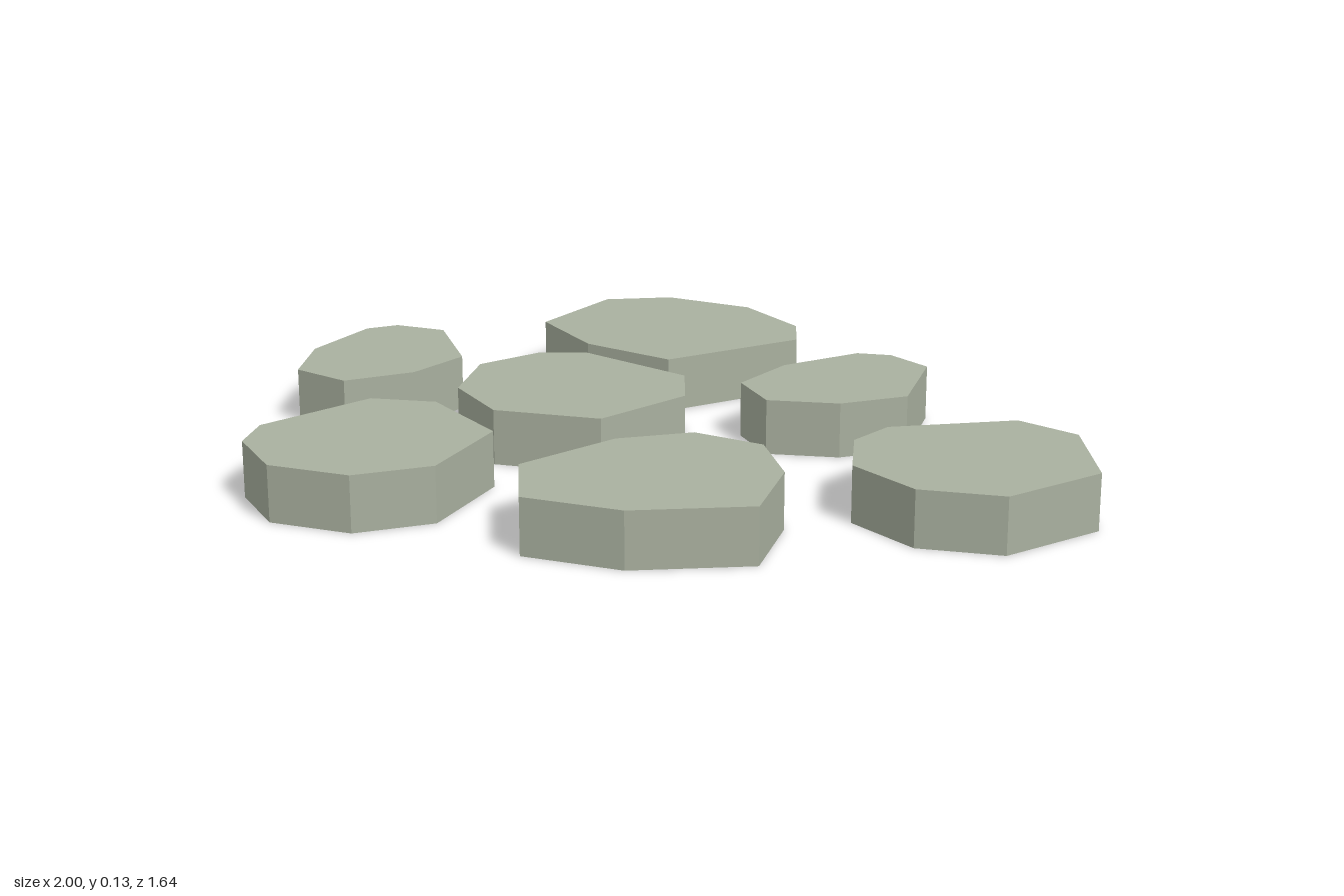
import * as THREE from 'three';

const HEIGHT = 0.13;

// Outline of each stepping stone as [x, z] corners on the ground
const STONES = {
  backLeftStone: [[-0.69, -0.665], [-0.57, -0.78], [-0.35, -0.822], [-0.15, -0.75], [-0.08, -0.65], [-0.23, -0.32], [-0.47, -0.31], [-0.68, -0.4]],
  backStone: [[0.02, -0.45], [0.105, -0.64], [0.18, -0.675], [0.3, -0.645], [0.388, -0.415], [0.295, -0.275], [0.145, -0.195], [0.02, -0.27]],
  rightStone: [[0.473, -0.195], [0.68, -0.41], [0.838, -0.4], [1, -0.2], [0.917, 0.045], [0.74, 0.122], [0.553, 0.073], [0.463, -0.073]],
  centreStone: [[-0.568, -0.018], [-0.517, -0.18], [-0.425, -0.248], [-0.12, -0.237], [-0.024, -0.11], [-0.072, 0.142], [-0.307, 0.238], [-0.484, 0.158]],
  leftStone: [[-1, -0.083], [-0.96, -0.152], [-0.837, -0.187], [-0.645, -0.04], [-0.65, 0.127], [-0.735, 0.278], [-0.885, 0.278], [-0.977, 0.127]],
  frontLeftStone: [[-0.59, 0.34], [-0.452, 0.27], [-0.207, 0.355], [-0.152, 0.607], [-0.255, 0.762], [-0.442, 0.818], [-0.6, 0.737], [-0.65, 0.634]],
  frontRightStone: [[0.04, 0.233], [0.152, 0.094], [0.323, 0.072], [0.463, 0.195], [0.542, 0.4], [0.338, 0.585], [0.115, 0.65], [-0.018, 0.493]],
};

export function createModel() {
  const group = new THREE.Group();
  group.name = 'steppingStones';
  const stone = new THREE.MeshStandardMaterial({ color: 0xa9b09f, flatShading: true });

  for (const [name, outline] of Object.entries(STONES)) {
    // Draw the outline flat, extrude it, then lay it down so it rises along y
    const shape = new THREE.Shape(outline.map(([x, z]) => new THREE.Vector2(x, -z)));
    const geometry = new THREE.ExtrudeGeometry(shape, { depth: HEIGHT, bevelEnabled: false });
    geometry.rotateX(-Math.PI / 2);
    const mesh = new THREE.Mesh(geometry, stone);
    mesh.name = name;
    group.add(mesh);
  }
  return group;
}
